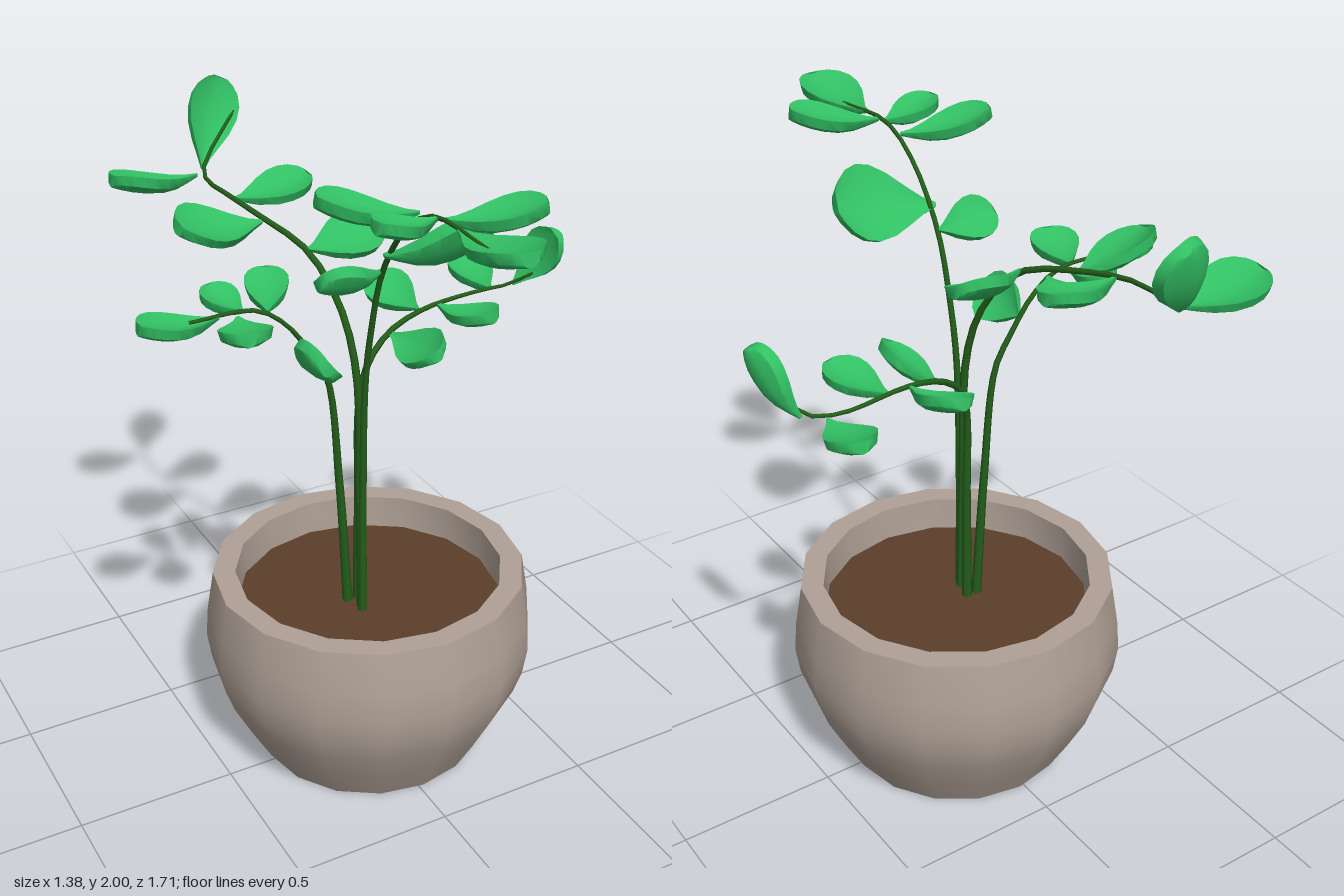
import * as THREE from 'three';
import { toCreasedNormals } from 'three/addons/utils/BufferGeometryUtils.js';

const mat = (name, color, side = THREE.FrontSide) => {
  const m = new THREE.MeshStandardMaterial({ color, side });
  m.name = name;
  return m;
};
const V = (p) => new THREE.Vector3(...p);

// Tapered stem swept along a smooth curve
function stemGeometry(points, r0 = 0.016, r1 = 0.005) {
  const path = new THREE.CatmullRomCurve3(points.map(V));
  const rings = 28, sides = 6;
  const geo = new THREE.TubeGeometry(path, rings, 1, sides);
  const pos = geo.attributes.position, p = new THREE.Vector3();
  for (let k = 0; k < pos.count; k++) {
    const t = Math.floor(k / (sides + 1)) / rings;
    const c = path.getPointAt(t);
    p.fromBufferAttribute(pos, k).sub(c).multiplyScalar(r0 + (r1 - r0) * t).add(c);
    pos.setXYZ(k, p.x, p.y, p.z);
  }
  return geo;
}

// Leaf outline: [distance along, half width]
const OUTLINE = [[0, 0.06], [0.12, 0.22], [0.28, 0.52], [0.45, 0.82], [0.62, 0.99],
  [0.76, 0.98], [0.88, 0.8], [0.96, 0.53], [1, 0.28]];
// Leaf cross-section: [across, 0 for the upper face or 1 for the underside]
const SECTION = [[-1, 0], [-0.5, 0], [0, 0], [0.5, 0], [1, 0], [0.9, 1], [0.45, 1.15],
  [0, 1.2], [-0.45, 1.15], [-0.9, 1]];

// Thick cupped leaf from its stalk point to its tip; hint is the direction across it
function leafGeometry(from, to, width, hint) {
  const start = V(from), axis = V(to).sub(start), length = axis.length();
  axis.normalize();
  const side = hint ? V(hint) : new THREE.Vector3(axis.z, 0, -axis.x);
  side.addScaledVector(axis, -side.dot(axis)).normalize();
  const up = new THREE.Vector3().crossVectors(side, axis);
  if (up.y < 0) { side.negate(); up.negate(); }

  const verts = [], index = [], n = SECTION.length, rows = OUTLINE.length;
  for (const [u, w] of OUTLINE) {
    for (const [s, under] of SECTION) {
      const cup = 0.14 * width * s * s * w - 0.5 * width * u * (1 - u);
      const h = cup - under * 0.026 * Math.min(1, 0.3 + u * 2);
      const p = start.clone().addScaledVector(axis, u * length)
        .addScaledVector(side, s * w * width / 2).addScaledVector(up, h);
      verts.push(p.x, p.y, p.z);
    }
  }
  for (let i = 0; i < rows - 1; i++) {
    for (let j = 0; j < n; j++) {
      const a = i * n + j, b = i * n + (j + 1) % n;
      index.push(a, b, b + n, a, b + n, a + n);
    }
  }
  const e = (rows - 1) * n;
  for (let j = 1; j < n - 1; j++) index.push(0, j + 1, j, e, e + j, e + j + 1);
  const geo = new THREE.BufferGeometry();
  geo.setAttribute('position', new THREE.Float32BufferAttribute(verts, 3));
  geo.setIndex(index);
  return toCreasedNormals(geo, 0.8);
}

// Each branch: stem path and leaves as [stalk, tip, width, across]
const BRANCHES = {
  frontBranch: {
    stem: [[-0.045, 0.5, 0.05], [-0.045, 0.95, 0.053], [-0.045, 1.32, 0.07], [-0.045, 1.5, 0.105],
      [-0.045, 1.69, 0.165], [-0.045, 1.86, 0.29], [-0.045, 1.94, 0.43], [-0.04, 1.935, 0.68]],
    leaves: [
      [[-0.045, 1.945, 0.55], [-0.035, 1.98, 0.85], 0.18],
      [[-0.045, 1.945, 0.45], [-0.24, 1.975, 0.49], 0.13],
      [[-0.045, 1.93, 0.36], [-0.295, 1.985, 0.27], 0.17],
      [[-0.04, 1.945, 0.47], [0.195, 1.985, 0.58], 0.17],
      [[-0.06, 1.76, 0.2], [0.235, 1.81, 0.26], 0.24, [0, 0.7, 0.7]],
      [[-0.045, 1.7, 0.16], [-0.245, 1.71, 0.17], 0.14, [0, 0.65, 0.75]],
    ],
  },
  backBranch: {
    stem: [[-0.04, 0.5, 0.035], [-0.045, 0.95, 0.035], [-0.055, 1.35, 0.03], [-0.075, 1.53, -0.03],
      [-0.115, 1.66, -0.14], [-0.18, 1.72, -0.34], [-0.215, 1.745, -0.5], [-0.215, 1.745, -0.63],
      [-0.18, 1.765, -0.72], [-0.04, 1.89, -0.8]],
    leaves: [
      [[-0.115, 1.67, -0.14], [0.135, 1.69, -0.18], 0.17, [0, 0.45, -0.9]],
      [[-0.18, 1.71, -0.31], [-0.455, 1.76, -0.27], 0.19, [0, 0.3, -0.95]],
      [[-0.2, 1.74, -0.45], [0.055, 1.765, -0.48], 0.16, [0, 0.2, -1]],
      [[-0.22, 1.745, -0.69], [-0.495, 1.78, -0.69], 0.185, [0, 0.15, 1]],
      [[-0.19, 1.75, -0.71], [-0.07, 1.99, -0.83], 0.17, [0.88, -0.45, 0]],
    ],
  },
  rightBranch: {
    stem: [[-0.06, 0.5, -0.02], [-0.085, 0.95, -0.022], [-0.12, 1.31, -0.025], [-0.17, 1.4, -0.025],
      [-0.25, 1.51, -0.025], [-0.34, 1.57, -0.025], [-0.54, 1.575, -0.025]],
    leaves: [
      [[-0.45, 1.575, -0.025], [-0.685, 1.6, -0.02], 0.145],
      [[-0.37, 1.57, -0.04], [-0.41, 1.6, -0.19], 0.115],
      [[-0.4, 1.57, -0.01], [-0.455, 1.6, 0.185], 0.15],
      [[-0.3, 1.56, -0.03], [-0.21, 1.6, -0.23], 0.13],
      [[-0.21, 1.45, -0.01], [-0.22, 1.46, 0.195], 0.16, [0.6, -0.8, 0]],
    ],
  },
  leftBranch: {
    stem: [[-0.025, 0.5, -0.02], [-0.02, 0.9, -0.022], [-0.01, 1.2, -0.035], [0.035, 1.3, -0.065],
      [0.125, 1.37, -0.1], [0.255, 1.405, -0.13], [0.48, 1.41, -0.165], [0.57, 1.42, -0.145],
      [0.63, 1.47, -0.085]],
    leaves: [
      [[0.13, 1.37, -0.1], [0.145, 1.4, 0.145], 0.15, [0.85, 0.5, 0]],
      [[0.25, 1.41, -0.14], [0.21, 1.45, -0.35], 0.15, [0.95, 0.25, 0]],
      [[0.32, 1.41, -0.14], [0.39, 1.44, 0.065], 0.145],
      [[0.53, 1.41, -0.17], [0.55, 1.445, -0.385], 0.145],
      [[0.59, 1.42, -0.14], [0.665, 1.61, -0.03], 0.14, [0.1, -0.5, 0.85]],
    ],
  },
};

export function createModel() {
  const root = new THREE.Group();
  root.name = 'pottedPlant';
  const clay = mat('clay', 0xb0a196);
  const earth = mat('earth', 0x5c3e2b);
  const stemGreen = mat('stemGreen', 0x235f1a);
  const leafGreen = mat('leafGreen', 0x32c064);

  const add = (parent, name, geo, material) => {
    const m = new THREE.Mesh(geo, material);
    m.name = name;
    parent.add(m);
    return m;
  };

  // Pot with rounded belly, flat rim and inner wall
  const profile = [[0, 0], [0.36, 0], [0.42, 0.11], [0.48, 0.23], [0.507, 0.31], [0.52, 0.4],
    [0.512, 0.5], [0.49, 0.63], [0.42, 0.63], [0.415, 0.48]].map(([x, y]) => new THREE.Vector2(x, y));
  const pot = add(root, 'pot', toCreasedNormals(new THREE.LatheGeometry(profile, 16), 0.7), clay);
  pot.position.set(0.015, 0, -0.02);

  // Soil surface
  const soil = add(root, 'soil', new THREE.CircleGeometry(0.418, 16).rotateX(-Math.PI / 2), earth);
  soil.position.set(0.015, 0.52, -0.02);

  // Branches with their leaves
  for (const [name, { stem, leaves }] of Object.entries(BRANCHES)) {
    const branch = new THREE.Group();
    branch.name = name;
    root.add(branch);
    add(branch, 'stem', stemGeometry(stem), stemGreen);
    for (const leaf of leaves) add(branch, 'leaf', leafGeometry(...leaf), leafGreen);
  }
  return root;
}
